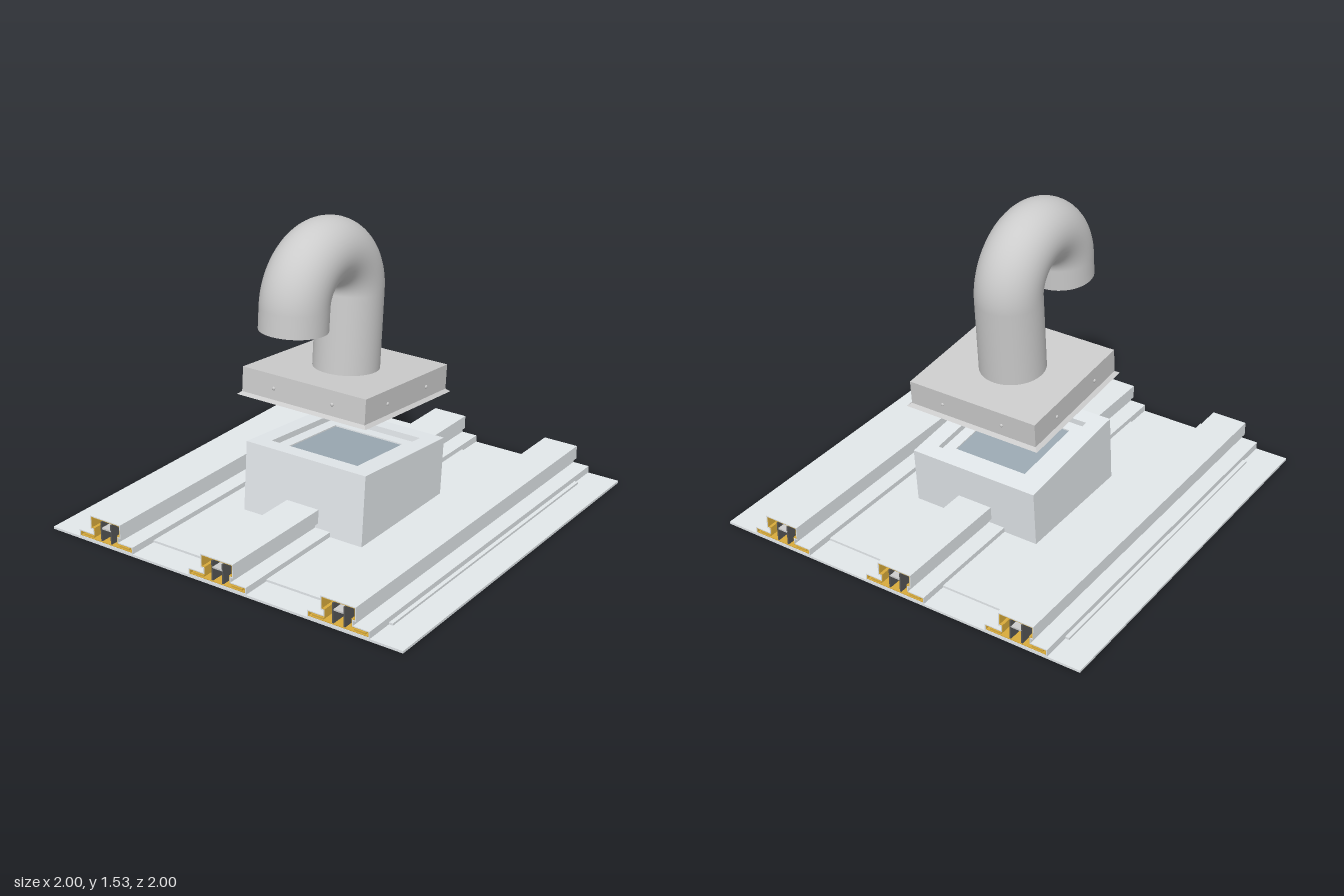
import * as THREE from 'three';

const TILT = -5 * Math.PI / 180;
const mat = (color, side = THREE.FrontSide) => new THREE.MeshStandardMaterial({ color, side });

export function createModel() {
  const root = new THREE.Group();
  const sheet = mat(0xe2e7ea), steel = mat(0xcccccc);
  const yellow = mat(0xd8ab3c), dark = mat(0x555555), pane = mat(0x9aa8b2);

  const add = (parent, name, geo, material, x = 0, y = 0, z = 0) => {
    const m = new THREE.Mesh(geo, material);
    m.name = name;
    m.position.set(x, y, z);
    parent.add(m);
    return m;
  };
  const box = (parent, name, w, h, d, material, x, y, z) =>
    add(parent, name, new THREE.BoxGeometry(w, h, d), material, x, y, z);
  const group = (name, x, y, z, tilt = 0) => {
    const g = new THREE.Group();
    g.name = name;
    g.position.set(x, y, z);
    g.rotation.x = tilt;
    root.add(g);
    return g;
  };
  const extrude = (shape, depth) => new THREE.ExtrudeGeometry(shape, { depth, bevelEnabled: false });
  const square = (a) => [[-a, -a], [a, -a], [a, a], [-a, a]].map(p => new THREE.Vector2(...p));

  // Flat deck and the thinner panel lying on it
  box(root, 'deck', 2, 0.012, 2, sheet, 0, 0.006, 0);
  box(root, 'deckPanel', 1.7, 0.012, 1.7, sheet, 0, 0.017, 0);

  // Hollow rails: a stepped outline, inset for the wall and the lining
  const outline = (t) => {
    const half = [[0.165, 0.013 + t], [0.165, 0.048], [0.078, 0.048], [0.078, 0.072], [0.093, 0.072], [0.093, 0.142]]
      .map(([x, y], i) => [x - t, i === 0 ? y : i === 3 || i === 4 ? y + t : y - t]);
    return [...half, ...half.slice().reverse().map(([x, y]) => [-x, y])].map(p => new THREE.Vector2(...p));
  };
  const shell = (outer, inner, depth) => {
    const s = new THREE.Shape(outline(outer));
    s.holes.push(new THREE.Path(outline(inner)));
    return extrude(s, depth);
  };
  const addRail = (name, x, z0, z1) => {
    const g = group(name, x, 0, 0), len = z1 - z0, mid = (z0 + z1) / 2;
    add(g, 'railCover', shell(0, 0.005, len), sheet, 0, 0, z0);
    add(g, 'railLining', shell(0.005, 0.009, len - 0.004), yellow, 0, 0, z0 + 0.002);
    for (const s of [-1, 1]) {
      box(g, 'railClip', 0.008, 0.1, len - 0.01, dark, s * 0.03, 0.073, mid);
      box(g, 'railFoot', 0.06, 0.008, len - 0.01, yellow, s * 0.11, 0.028, mid);
    }
    box(g, 'railWeb', 0.06, 0.008, len - 0.01, steel, 0, 0.09, mid);
  };
  addRail('leftRail', 0.665, -1, 1);
  addRail('rightRail', -0.665, -1, 1);
  addRail('middleRailFront', 0, 0.3, 1);
  addRail('middleRailBack', 0, -1, -0.31);

  // Leaning curb: square rings whose lower ends are cut level with the deck
  const ring = (outer, inner, drop) => {
    const s = new THREE.Shape(square(outer));
    s.holes.push(new THREE.Path(square(inner)));
    const g = extrude(s, 0.3);
    g.rotateX(-Math.PI / 2).translate(0, -0.3 - drop, 0).rotateX(TILT).translate(0, 0.348, -0.025);
    const p = g.attributes.position;
    // Lower-end vertices slide along the leaning axis down to the deck
    const up = new THREE.Vector3(0, Math.cos(TILT), Math.sin(TILT)), v = new THREE.Vector3();
    for (let i = 0; i < p.count; i++) {
      v.fromBufferAttribute(p, i);
      if (v.y < 0.15) v.addScaledVector(up, (0.016 - v.y) / up.y);
      p.setXYZ(i, v.x, v.y, v.z);
    }
    g.computeVertexNormals();
    return g;
  };
  add(root, 'curb', ring(0.346, 0.26, 0), sheet);
  add(root, 'curbLedge', ring(0.26, 0.2, 0.03), sheet);
  const opening = group('curbOpening', 0, 0.348, -0.025, TILT);
  box(opening, 'curbPane', 0.4, 0.01, 0.4, pane, 0, -0.042, 0);

  // Raised hood, its frame centred on the top face
  const hood = group('hood', 0, 0.738, -0.023, TILT);
  const W = 0.352, H = 0.124, T = 0.008;
  box(hood, 'hoodTop', 2 * W, T, 2 * W, steel, 0, -T / 2, 0);
  for (let i = 0; i < 4; i++) {
    const side = new THREE.Group();
    side.name = 'hoodSide';
    side.rotation.y = i * Math.PI / 2;
    hood.add(side);
    box(side, 'hoodWall', 2 * W, H - T, T, steel, 0, -(H + T) / 2, W - T / 2);
    // Flared drip edge with mitred ends
    const lip = new THREE.BufferGeometry();
    const a = W, b = W + 0.018, y0 = -H, y1 = -H - 0.014;
    lip.setAttribute('position', new THREE.Float32BufferAttribute(
      [-a, y0, a, -b, y1, b, b, y1, b, a, y0, a], 3));
    lip.setIndex([0, 1, 2, 0, 2, 3]);
    lip.computeVertexNormals();
    add(side, 'dripEdge', lip, mat(0xcccccc, THREE.DoubleSide));
    for (const x of [-0.167, 0.167]) {
      const screw = add(side, 'screw', new THREE.SphereGeometry(0.009, 10, 8), steel, x, -0.068, W);
      screw.scale.z = 0.8;
    }
  }

  // Gooseneck pipe: riser, half-turn bend and short outlet
  const R = 0.163, BEND = 0.2235, RISE = 0.384, DROP = 0.106;
  const pipe = new THREE.Group();
  pipe.name = 'gooseneckPipe';
  hood.add(pipe);
  add(pipe, 'riser', new THREE.CylinderGeometry(R, R, RISE, 40, 1, true), steel, 0, RISE / 2, 0);
  const bend = add(pipe, 'bend', new THREE.TorusGeometry(BEND, R, 40, 40, Math.PI), steel, 0, RISE, BEND);
  bend.rotation.y = Math.PI / 2;
  add(pipe, 'outlet', new THREE.CylinderGeometry(R, R, DROP, 40), steel, 0, RISE - DROP / 2, 2 * BEND);

  return root;
}
